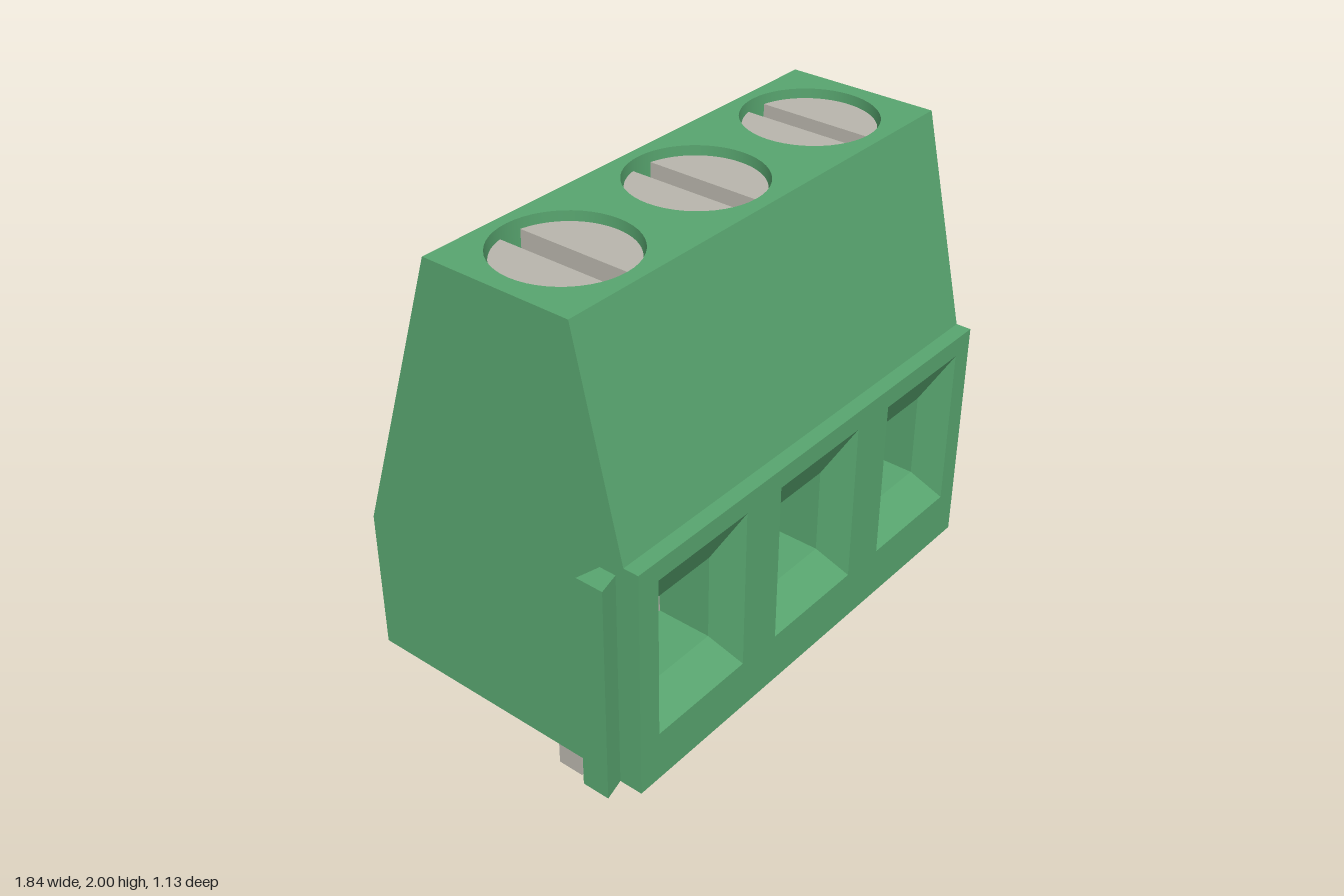
import * as THREE from 'three';

const X0 = -0.84, X1 = 0.92, Y0 = 0.41, ZF = 0.565, ZB = -0.565;
const POLES = [-0.545, 0.042, 0.629];
const HOLE_Z = 0.055, HOLE_R = 0.23;

const green = new THREE.MeshStandardMaterial({ color: 0x58a56f, side: THREE.DoubleSide, flatShading: true });
const greenSmooth = new THREE.MeshStandardMaterial({ color: 0x58a56f, side: THREE.DoubleSide });
const metal = new THREE.MeshStandardMaterial({ color: 0xb8b5ac });

const shapeOf = (pts) => new THREE.Shape(pts.map(([a, b]) => new THREE.Vector2(a, b)));

function add(parent, name, geometry, material, x = 0, y = 0, z = 0) {
  const mesh = new THREE.Mesh(geometry, material);
  mesh.name = name;
  mesh.position.set(x, y, z);
  parent.add(mesh);
  return mesh;
}

// Flat four-sided panels, corners counter-clockwise seen from their front
function quads(list) {
  const pos = [];
  for (const [a, b, c, d] of list) pos.push(...a, ...b, ...c, ...a, ...c, ...d);
  const g = new THREE.BufferGeometry();
  g.setAttribute('position', new THREE.Float32BufferAttribute(pos, 3));
  g.computeVertexNormals();
  return g;
}

// Walls joining two rectangles {x0,x1,y0,y1,z}, facing inward
function funnelWalls(f, b) {
  const ring = (r) => [[r.x0, r.y0, r.z], [r.x1, r.y0, r.z], [r.x1, r.y1, r.z], [r.x0, r.y1, r.z]];
  const p = ring(f), q = ring(b);
  return p.map((_, i) => [p[i], p[(i + 1) % 4], q[(i + 1) % 4], q[i]]);
}

const rect = (cx, hw, y0, y1, z) => ({ x0: cx - hw, x1: cx + hw, y0, y1, z });
const rectPoints = (r) => [[r.x0, r.y0], [r.x1, r.y0], [r.x1, r.y1], [r.x0, r.y1]];

function buildHousing() {
  const housing = new THREE.Group();
  housing.name = 'housing';

  // Side profile (z, y), from the front foot over the top to the rear foot
  const profile = [[ZF, Y0], [ZF, 1.26], [0.51, 1.26], [0.335, 2], [-0.215, 2], [ZB, 0.935], [ZB, Y0]];
  add(housing, 'leftEndWithoutGroove', new THREE.ShapeGeometry(shapeOf(profile)).rotateY(-Math.PI / 2), green, X0);

  // Grooved end: same profile with a slot cut up from the foot
  const slot = [[0.42, Y0], [0.42, 1.22], [0.48, 1.22], [0.48, Y0]];
  const grooved = [...profile, ...slot].map(([z, y]) => [-z, y]);
  add(housing, 'groovedEnd', new THREE.ShapeGeometry(shapeOf(grooved)).rotateY(Math.PI / 2), green, X1);

  // Ledge, front slope, rear slope and rear wall
  const skins = [1, 2, 4, 5].map((i) => {
    const [za, ya] = profile[i], [zb, yb] = profile[i + 1];
    return [[X0, ya, za], [X1, ya, za], [X1, yb, zb], [X0, yb, zb]];
  });
  add(housing, 'slopesAndRear', quads(skins), green);

  // Underside with the dovetail notch
  const dovetail = [[X1, 0.42], [0.84, 0.4], [0.84, 0.5], [X1, 0.48]];
  const underside = [[X0, ZF], [X0, ZB], [X1, ZB], ...dovetail, [X1, ZF]];
  add(housing, 'underside', new THREE.ShapeGeometry(shapeOf(underside)).rotateX(Math.PI / 2), green, 0, Y0);

  // Inside of the dovetail groove
  const low = dovetail.map(([x, z]) => [x, Y0, z]);
  const high = dovetail.map(([x, z]) => [x, 1.22, z]);
  const groove = [0, 1, 2].map((i) => [low[i + 1], low[i], high[i], high[i + 1]]);
  groove.push(high);
  add(housing, 'dovetailGroove', quads(groove), green);

  // Matching dovetail rib on the other end
  const rib = shapeOf([[X0, -0.42], [-0.92, -0.4], [-0.92, -0.5], [X0, -0.48]]);
  const ribGeo = new THREE.ExtrudeGeometry(rib, { depth: 1.22 - Y0, bevelEnabled: false }).rotateX(-Math.PI / 2);
  add(housing, 'dovetailRib', ribGeo, green, 0, Y0);

  // Front panel with wire openings, top panel with screw holes
  const front = shapeOf([[X0, Y0], [X1, Y0], [X1, 1.26], [X0, 1.26]]);
  const top = shapeOf([[X0, -0.335], [X1, -0.335], [X1, 0.215], [X0, 0.215]]);
  for (const x of POLES) {
    const mouth = rect(x, 0.208, 0.595, 1.19, ZF);
    const throat = rect(x, 0.16, 0.685, 1.0, 0.46);
    const end = { ...throat, z: -0.16 };
    front.holes.push(shapeOf(rectPoints(mouth)));
    const hole = new THREE.Path();
    hole.absarc(x, -HOLE_Z, HOLE_R, 0, Math.PI * 2, true);
    top.holes.push(hole);

    const walls = [...funnelWalls(mouth, throat), ...funnelWalls(throat, end)];
    walls.push(rectPoints(end).map(([a, b]) => [a, b, end.z]));
    add(housing, 'wireFunnel', quads(walls), green);

    const bore = new THREE.CylinderGeometry(HOLE_R, HOLE_R, 0.2, 48, 1, true);
    add(housing, 'screwHole', bore, greenSmooth, x, 1.9, HOLE_Z);
    add(housing, 'screwHoleFloor', new THREE.CircleGeometry(HOLE_R, 48).rotateX(-Math.PI / 2), green, x, 1.8, HOLE_Z);
  }
  add(housing, 'frontPanel', new THREE.ShapeGeometry(front), green, 0, 0, ZF);
  add(housing, 'topPanel', new THREE.ShapeGeometry(top, 24).rotateX(-Math.PI / 2), green, 0, 2);
  return housing;
}

// Slotted screw: a solid base and two half-moon lands
function buildScrew() {
  const screw = new THREE.Group();
  screw.name = 'screw';
  const r = 0.22, a = Math.acos(0.042 / r);
  add(screw, 'screwBase', new THREE.CylinderGeometry(r, r, 0.07, 48), metal, 0, 1.835);
  for (const turn of [0, Math.PI]) {
    const land = new THREE.Shape();
    land.absarc(0, 0, r, turn - a, turn + a, false);
    land.closePath();
    const geo = new THREE.ExtrudeGeometry(land, { depth: 0.1, bevelEnabled: false, curveSegments: 24 });
    add(screw, 'screwLand', geo.rotateX(-Math.PI / 2), metal, 0, 1.87);
  }
  return screw;
}

// Square metal sleeve that clamps the wire
function buildClamp() {
  const outer = shapeOf(rectPoints(rect(0, 0.158, 0.687, 0.998, 0)));
  outer.holes.push(shapeOf(rectPoints(rect(0, 0.148, 0.697, 0.988, 0))));
  return new THREE.ExtrudeGeometry(outer, { depth: 0.42, bevelEnabled: false });
}

export function createModel() {
  const model = new THREE.Group();
  model.name = 'screwTerminalBlock';
  model.add(buildHousing());
  for (const x of POLES) {
    const screw = buildScrew();
    screw.position.set(x, 0, HOLE_Z);
    model.add(screw);
    add(model, 'wireClamp', buildClamp(), metal, x, 0, -0.158);
    add(model, 'solderPin', new THREE.BoxGeometry(0.103, 0.43, 0.103), metal, x - 0.003, 0.215, 0.037);
  }
  return model;
}
